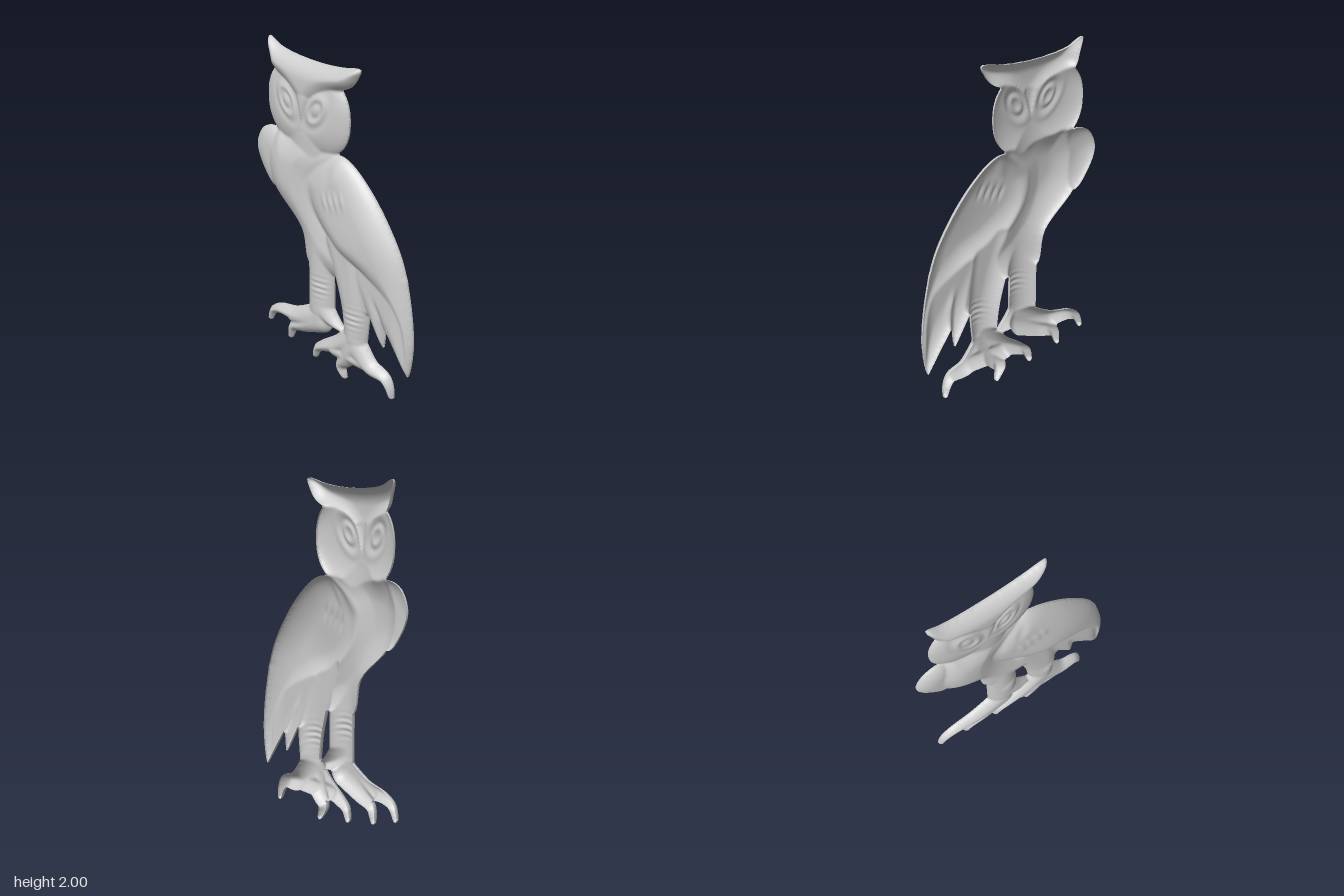
import * as THREE from 'three';
import { mergeVertices } from 'three/addons/utils/BufferGeometryUtils.js';

const STEP = 0.0075, X0 = -0.69, Y0 = -0.03, NX = 184, NY = 274;
const EDGE_Z = -0.045, BACK_Z = -0.055;

const spline = (flat, closed) => new THREE.CatmullRomCurve3(
  Array.from({ length: flat.length / 2 }, (_, i) => new THREE.Vector3(flat[2 * i], flat[2 * i + 1], 0)), closed, 'centripetal');

// The shape helpers return a signed distance to the shape's edge, positive inside
function polygon(poly) {
  return (x, y) => {
    let best = 1e9, inside = false;
    poly.forEach((b, i) => {
      const a = poly.at(i - 1), ex = b.x - a.x, ey = b.y - a.y, px = x - a.x, py = y - a.y;
      const t = Math.min(1, Math.max(0, (px * ex + py * ey) / (ex * ex + ey * ey || 1e-12)));
      best = Math.min(best, (px - t * ex) ** 2 + (py - t * ey) ** 2);
      if ((a.y > y) !== (b.y > y) && x < a.x + ex * (y - a.y) / ey) inside = !inside;
    });
    return (inside ? 1 : -1) * Math.sqrt(best);
  };
}
const outline = (...flat) => polygon(spline(flat, true).getPoints(flat.length * 3).slice(0, -1));

// Squarish ellipse
function oval(cx, cy, rx, ry) {
  const soft = (v) => Math.sign(v) * Math.abs(v) ** 0.85;
  return polygon(Array.from({ length: 64 }, (_, i) => {
    const a = i * Math.PI / 32;
    return new THREE.Vector2(cx + rx * soft(Math.cos(a)), cy + ry * soft(Math.sin(a)));
  }));
}

// Rounded stroke tapering from r0 to r1 along a path
function limb(r0, r1, ...flat) {
  const points = spline(flat, false).getSpacedPoints(40);
  return (x, y) => points.reduce((d, p, i) => Math.max(d, r0 + (r1 - r0) * i / 40 - Math.hypot(x - p.x, y - p.y)), -1e9);
}

const bell = (x, y, cx, cy, rx, ry) => Math.exp(-(((x - cx) / rx) ** 2) - ((y - cy) / ry) ** 2);
const ridge = (v, at, width) => Math.exp(-(((v - at) / width) ** 2));

// A part swells up over the width of its rolled edge to a height that may vary
const parts = [];
const addPart = (name, roll, height, ...shapes) => parts.push({ name, roll, height, shapes });

const wing = outline(0.03, 1.437, 0.125, 1.42, 0.27, 1.315, 0.43, 1.13, 0.55, 0.915, 0.632, 0.47, 0.596, 0.24, 0.53, 0.57,
  0.27, 0.775, 0.06, 0.855, -0.165, 1.07, -0.2, 1.24, -0.12, 1.35);

addPart('farWing', 0.12, () => 0.043, outline(-0.46, 1.457, -0.58, 1.43, -0.637, 1.31, -0.58, 1.17, -0.48, 1.08, -0.33, 1.25));
addPart('body', 0.17, (x, y) => 0.057 + 0.028 * bell(x, y, -0.33, 1.22, 0.2, 0.26) - 0.022 * ridge(Math.max(0, wing(x, y)), 0.03, 0.05)
  * (wing(x, y) > -0.08 ? 1 + Math.min(0, wing(x, y)) / 0.08 : 0),
  outline(-0.43, 1.47, -0.525, 1.34, -0.53, 1.22, -0.48, 1.09, -0.26, 0.885, -0.2, 0.68, 0, 0.67, 0.3, 0.65, 0.38, 1, 0.01, 1.45, -0.1, 1.46,
    -0.22, 1.5, -0.35, 1.47));
addPart('head', 0.17, (x, y) => 0.05 + 0.008 * bell(x, y, -0.2, 1.58, 0.2, 0.2), oval(-0.205, 1.65, 0.326, 0.265),
  limb(0.17, 0.15, -0.2, 1.5, -0.2, 1.34));
addPart('brow', 0.1, (x, y) => 0.067 + 0.006 * bell(x, y, -0.19, 1.8, 0.2, 0.09),
  outline(-0.52, 2, -0.43, 1.964, -0.3, 1.945, -0.1, 1.942, 0.05, 1.956, 0.197, 1.977, 0.175, 1.92, 0.125, 1.86, -0.04, 1.785, -0.13, 1.7,
    -0.2, 1.62, -0.265, 1.7, -0.34, 1.765, -0.475, 1.84, -0.5, 1.91));
addPart('beak', 0.045, () => 0.07, limb(0.06, 0.012, -0.195, 1.73, -0.2, 1.63, -0.207, 1.535));
addPart('tailFeathers', 0.1, () => 0.052, limb(0.1, 0.03, 0.2, 0.8, 0.285, 0.55),
  limb(0.15, 0.006, 0.3, 0.8, 0.36, 0.55, 0.405, 0.36), limb(0.18, 0.006, 0.4, 0.8, 0.515, 0.5, 0.597, 0.25));
addPart('farLeg', 0.1, () => 0.056, limb(0.1, 0.1, -0.1, 0.85, -0.096, 0.6, -0.095, 0.41));
addPart('farFoot', 0.075, () => 0.054, limb(0.08, 0.016, -0.1, 0.36, -0.3, 0.28, -0.46, 0.256, -0.525, 0.22, -0.555, 0.155),
  limb(0.085, 0.016, -0.1, 0.33, -0.25, 0.235, -0.345, 0.18, -0.372, 0.1), limb(0.085, 0.015, -0.08, 0.42, 0, 0.37, 0.083, 0.332),
  limb(0.08, 0.04, -0.15, 0.32, -0.34, 0.25));
addPart('nearLeg', 0.1, () => 0.063, limb(0.15, 0.085, 0.1, 0.92, 0.155, 0.7, 0.185, 0.52, 0.19, 0.33));
addPart('nearFoot', 0.075, () => 0.057, limb(0.085, 0.017, 0.19, 0.33, 0.06, 0.23, -0.08, 0.155, -0.13, 0.12, -0.153, 0.06),
  limb(0.09, 0.016, 0.18, 0.28, 0.11, 0.15, 0.07, 0.09, 0.097, 0.018),
  limb(0.085, 0.016, 0.2, 0.28, 0.32, 0.185, 0.43, 0.16, 0.465, 0.11, 0.478, 0.055), limb(0.06, 0.055, 0.03, 0.19, 0.3, 0.195));
addPart('nearWing', 0.15, (x, y) => 0.068 + 0.033 * bell(x, y, 0.2, 0.96, 0.24, 0.26), wing);

const depth = (p, x, y) => Math.max(...p.shapes.map((s) => s(x, y)));
const union = (x, y) => Math.max(...parts.map((p) => depth(p, x, y)));

// Highest part at a point
function sample(x, y) {
  const cell = { d: -1e9, h: 0, part: -1 };
  parts.forEach((p, i) => {
    const d = depth(p, x, y);
    cell.d = Math.max(cell.d, d);
    if (d <= 0) return;
    const h = p.height(x, y) * (1 - (1 - Math.min(1, d / p.roll)) ** 2) ** 0.7;
    if (h > cell.h) Object.assign(cell, { h, part: i });
  });
  return cell;
}

// Carved details: eyes, leg wrinkles, feather grooves and ruffles
const eye = (x, y, cx, tilt) => {
  const r = Math.hypot((x - cx + (y - 1.68) * tilt) / 0.06, (y - 1.68) / 0.08);
  return 0.005 * ridge(r, 0.95, 0.22) + 0.006 * ridge(r, 0, 0.45) - 0.004 * ridge(r, 0.55, 0.2) - 0.004 * ridge(r, 1.5, 0.3);
};
const wrinkles = (x, y, cx, cy) => 0.004 * bell(x, y, cx, cy, 0.065, 0.06) * Math.sin((y - cy + 2 * (x - cx) ** 2) * 170);
const details = {
  head: (x, y) => eye(x, y, -0.325, 0.35) + eye(x, y, -0.09, -0.35),
  farLeg: (x, y) => wrinkles(x, y, -0.07, 0.58),
  nearLeg: (x, y) => wrinkles(x, y, 0.21, 0.48),
  tailFeathers: (x, y) => -0.006 * ridge(x + 0.45 * y, 0.66, 0.02) * ridge(y, 0.6, 0.06),
  nearWing: (x, y) => {
    let z = -0.008 * bell(x - (y - 1.3) * 0.3, y, 0, 1.33, 0.03, 0.07);
    for (let i = 0; i < 4; i++) {
      const cy = 1.165 + i * 0.016;
      z += 0.007 * bell(x + (y - cy) * 0.35, y, i * 0.048, cy, 0.014, 0.042);
    }
    return z;
  },
};

export function createModel() {
  const group = new THREE.Group();
  const material = new THREE.MeshStandardMaterial({ color: 0xcccccc, side: THREE.DoubleSide });
  const W = NX + 1, total = W * (NY + 1);
  const at = (k) => [X0 + (k % W) * STEP, Y0 + Math.floor(k / W) * STEP];
  const cells = Array.from({ length: total }, (_, k) => sample(...at(k)));

  // Soften ridges and seams
  let heights = cells.map((c) => c.h);
  for (let pass = 0; pass < 3; pass++) {
    heights = heights.map((h, k) => (cells[k].d <= 0 ? 0
      : (4 * h + heights[k - 1] + heights[k + 1] + heights[k - W] + heights[k + W]) / 8));
  }

  // Relief vertices, with those just outside pulled onto the silhouette
  const pos = new Float32Array(total * 3);
  cells.forEach((c, k) => {
    let [x, y] = at(k), z = EDGE_Z;
    if (c.d > 0) {
      const carve = details[parts[c.part].name];
      z += heights[k] + (carve ? carve(x, y) * Math.min(1, c.d / 0.03) : 0);
    } else if (c.d > -2 * STEP) {
      for (let n = 0; n < 2; n++) {
        const e = 1e-4, d = union(x, y), gx = (union(x + e, y) - d) / e, gy = (union(x, y + e) - d) / e;
        const g = Math.max(0.5, gx * gx + gy * gy);
        x -= d * gx / g;
        y -= d * gy / g;
      }
    }
    pos.set([x, y, z], k * 3);
  });

  // Triangles sorted by the part they belong to
  const lists = parts.map(() => []), edges = new Map();
  const addTri = (...t) => {
    const top = t.reduce((m, k) => (cells[k].h > cells[m].h ? k : m));
    if (cells[top].part < 0) return;
    lists[cells[top].part].push(...t);
    t.forEach((a, i) => {
      const b = t[(i + 1) % 3];
      if (!edges.delete(b * total + a)) edges.set(a * total + b, [a, b]);
    });
  };
  for (let j = 0; j < NY; j++) for (let i = 0; i < NX; i++) {
    const a = j * W + i, b = a + 1, c = a + W + 1, d = a + W;
    if ((i + j) % 2) { addTri(a, b, c); addTri(a, c, d); } else { addTri(a, b, d); addTri(b, c, d); }
  }
  const sheet = new THREE.BufferGeometry();
  sheet.setAttribute('position', new THREE.BufferAttribute(pos, 3));
  sheet.setIndex(lists.flat());
  sheet.computeVertexNormals();
  const addMesh = (name, geometry) => {
    const mesh = new THREE.Mesh(geometry, material);
    mesh.name = name;
    group.add(mesh);
  };
  parts.forEach((p, i) => {
    sheet.setIndex(lists[i]);
    addMesh(p.name, mergeVertices(sheet.toNonIndexed(), 1e-5));
  });

  // Thin upright rim around the silhouette
  const rim = [];
  for (const [a, b] of edges.values()) {
    const [ax, ay, bx, by] = [pos[a * 3], pos[a * 3 + 1], pos[b * 3], pos[b * 3 + 1]];
    rim.push(ax, ay, EDGE_Z, ax, ay, BACK_Z, bx, by, EDGE_Z, ax, ay, BACK_Z, bx, by, BACK_Z, bx, by, EDGE_Z);
  }
  const rimGeometry = new THREE.BufferGeometry();
  rimGeometry.setAttribute('position', new THREE.Float32BufferAttribute(rim, 3));
  rimGeometry.computeVertexNormals();
  addMesh('rim', rimGeometry);
  return group;
}
